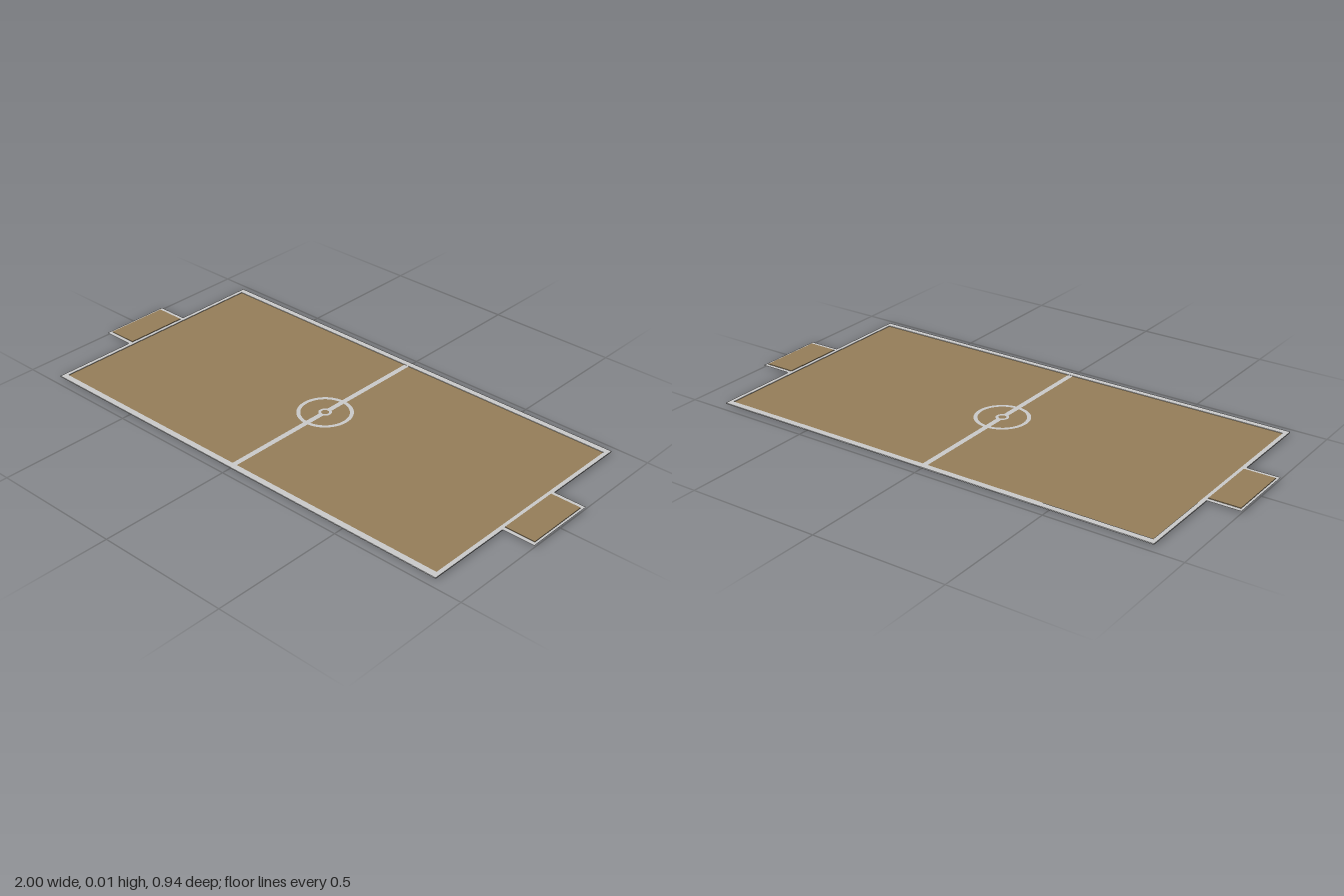
import * as THREE from 'three';

const floorMat = new THREE.MeshStandardMaterial({ color: 0x967f5a });
floorMat.name = 'clay brown';
const lineMat = new THREE.MeshStandardMaterial({ color: 0xcccccc });
lineMat.name = 'line grey';

function add(parent, name, geometry, material, x = 0, y = 0, z = 0) {
  const mesh = new THREE.Mesh(geometry, material);
  mesh.name = name;
  mesh.position.set(x, y, z);
  parent.add(mesh);
  return mesh;
}

function rect(Type, w, d) {
  const s = new Type();
  s.moveTo(-w, -d).lineTo(w, -d).lineTo(w, d).lineTo(-w, d).closePath();
  return s;
}

// Thin flat ring lying on the ground
function ring(inner, outer, segments) {
  return new THREE.RingGeometry(inner, outer, segments).rotateX(-Math.PI / 2);
}

export function createModel() {
  const model = new THREE.Group();
  model.name = 'sportsCourt';

  // Playing surface
  add(model, 'courtFloor', new THREE.BoxGeometry(1.73, 0.002, 0.9), floorMat, 0, 0.005);

  // Raised border around the court
  const border = rect(THREE.Shape, 0.878, 0.468);
  border.holes.push(rect(THREE.Path, 0.862, 0.444));
  const borderGeo = new THREE.ExtrudeGeometry(border, { depth: 0.004, bevelEnabled: false });
  borderGeo.rotateX(-Math.PI / 2);
  add(model, 'courtBorder', borderGeo, lineMat, 0, 0.004);

  // Markings: halfway line in two halves, centre circle and centre spot
  for (const side of [-1, 1]) {
    const half = new THREE.PlaneGeometry(0.02, 0.424).rotateX(-Math.PI / 2);
    add(model, 'halfwayLine', half, lineMat, 0, 0.0072, side * 0.232);
  }
  add(model, 'centreCircle', ring(0.087, 0.101, 64), lineMat, 0, 0.0076);
  add(model, 'centreSpotRing', ring(0.014, 0.024, 32), lineMat, 0, 0.0078);

  // Goal areas at both ends, each a slab with a flat outline on three sides
  for (const side of [-1, 1]) {
    const goal = new THREE.Group();
    goal.name = side > 0 ? 'leftGoal' : 'rightGoal';
    add(goal, 'goalFloor', new THREE.BoxGeometry(0.115, 0.01, 0.246), floorMat, side * 0.9335, 0.005);
    for (const z of [-1, 1]) {
      const strip = new THREE.PlaneGeometry(0.122, 0.016).rotateX(-Math.PI / 2);
      add(goal, 'goalSideLine', strip, lineMat, side * 0.939, 0.008, z * 0.131);
    }
    const end = new THREE.PlaneGeometry(0.009, 0.246).rotateX(-Math.PI / 2);
    add(goal, 'goalEndLine', end, lineMat, side * 0.9955, 0.008);
    model.add(goal);
  }

  return model;
}
